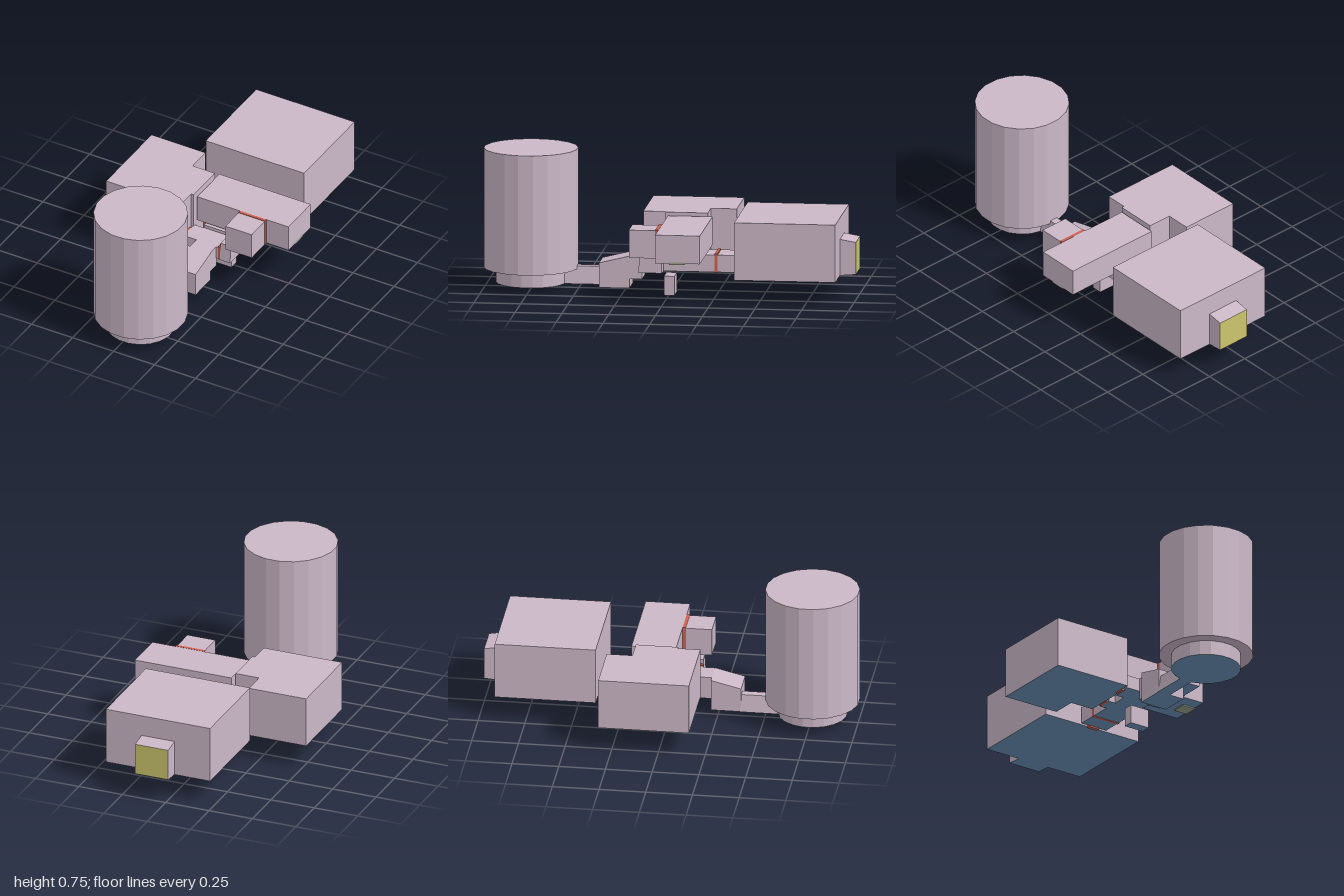
import * as THREE from 'three';

const paint = (color) => new THREE.MeshStandardMaterial({ color, flatShading: true });

export function createModel() {
  const model = new THREE.Group();
  const wall = paint(0xccb8c8);
  const floor = paint(0x6a92b8);
  const red = paint(0xd0604f);
  const yellow = paint(0xccc66e);
  const hatch = paint(0x9aa28c);

  const add = (name, geometry, material) => {
    const mesh = new THREE.Mesh(geometry, material);
    mesh.name = name;
    model.add(mesh);
    return mesh;
  };

  // Box from its extents
  const boxGeo = ([x0, x1], [y0, y1], [z0, z1]) =>
    new THREE.BoxGeometry(x1 - x0, y1 - y0, z1 - z0)
      .translate((x0 + x1) / 2, (y0 + y1) / 2, (z0 + z1) / 2);

  // Room: walls and roof in one colour, floor in another
  const room = (name, x, y, z) =>
    add(name, boxGeo(x, y, z), [wall, wall, wall, floor, wall, wall]);
  const door = (name, x, y, z) => add(name, boxGeo(x, y, z), red);

  // Reshape a box's corners by a rule
  const bend = (mesh, rule) => {
    const p = mesh.geometry.attributes.position;
    const v = new THREE.Vector3();
    for (let i = 0; i < p.count; i++) {
      v.fromBufferAttribute(p, i);
      rule(v);
      p.setXYZ(i, v.x, v.y, v.z);
    }
    mesh.geometry.computeVertexNormals();
    return mesh;
  };

  // Round tower on a narrower base, twenty flat sides
  const drum = (name, r, y0, y1, bottom) => {
    const g = new THREE.CylinderGeometry(r, r, y1 - y0, 20);
    g.rotateY(Math.PI / 20).translate(0.025, (y0 + y1) / 2, 0.7525);
    add(name, g, [wall, wall, bottom]);
  };
  drum('tower', 0.2506, 0.11, 0.755, wall);
  drum('towerBase', 0.185, 0.03, 0.11, floor);

  // Tunnel from the tower, its sides leaning in to a narrower roof
  bend(room('tunnel', [-0.018, 0.057], [0.03, 0.125], [0.37, 0.6]), (v) => {
    if (v.y > 0.1) v.x = 0.02 + (v.x - 0.02) * 0.6;
  });

  // Ramp with a rising roof, then a step up to the junction
  bend(room('ramp', [-0.015, 0.145], [0.03, 0.203], [0.213, 0.375]), (v) => {
    if (v.y > 0.1 && v.z > 0.3) v.y = 0.163;
  });
  room('step', [0.02, 0.142], [0.08, 0.203], [0.145, 0.213]);
  room('junction', [0.02, 0.158], [0.13, 0.203], [0.03, 0.15]);
  room('junctionWest', [-0.06, 0.02], [0.13, 0.203], [0.03, 0.145]);
  bend(room('junctionEast', [0.168, 0.23], [0.13, 0.235], [0.03, 0.155]), (v) => {
    if (v.y > 0.2 && v.z > 0.1) v.z = 0.148;
  });
  door('junctionDoor', [0.154, 0.168], [0.128, 0.21], [0.03, 0.151]);

  // Corridor running back to the large room
  room('corridor', [0, 0.16], [0.13, 0.222], [-0.245, 0.03]);
  room('corridorEnd', [0, 0.16], [0.13, 0.222], [-0.358, -0.258]);
  door('corridorDoor', [-0.001, 0.165], [0.128, 0.228], [-0.259, -0.244]);
  door('backDoor', [0.05, 0.11], [0.122, 0.2], [-0.378, -0.355]);

  // Large back room with an entrance porch
  room('backRoom', [-0.22, 0.38], [0.13, 0.44], [-0.915, -0.375]);
  const porch = room('porch', [-0.015, 0.175], [0.13, 0.325], [-1, -0.915]);
  bend(porch, (v) => {
    if (v.z < -0.95) v.y = v.y > 0.2 ? 0.31 : 0.137;
  });
  porch.material = [wall, wall, wall, floor, wall, yellow];

  // L-shaped side room and its two doors
  room('sideRoom', [-0.52, -0.19], [0.13, 0.407], [-0.32, 0.165]);
  room('sideRoomBay', [-0.19, -0.055], [0.13, 0.407], [-0.182, 0.045]);
  room('sideRoomCorner', [-0.19, -0.07], [0.13, 0.407], [0.045, 0.165]);
  door('sideDoorBack', [-0.056, -0.04], [0.128, 0.2], [-0.12, -0.06]);
  door('sideDoorFront', [-0.072, -0.058], [0.122, 0.2], [0.06, 0.118]);
  room('sidePassage', [-0.04, 0], [0.13, 0.2], [-0.13, -0.05]);

  // Upper hall with a floor hatch and a small annex
  room('upperHall', [-0.042, 0.515], [0.238, 0.39], [-0.208, 0.03]);
  add('floorHatch', boxGeo([0.437, 0.515], [0.231, 0.245], [-0.125, -0.045]), hatch);
  room('annex', [0.22, 0.38], [0.238, 0.388], [0.045, 0.187]);
  door('annexDoor', [0.219, 0.381], [0.236, 0.391], [0.03, 0.047]);

  // Low cellar under the corridor, in two layers
  room('cellar', [0.05, 0.165], [0, 0.063], [-0.03, 0.026]);
  room('cellarTop', [0.05, 0.165], [0.063, 0.103], [-0.03, 0.026]);

  return model;
}
